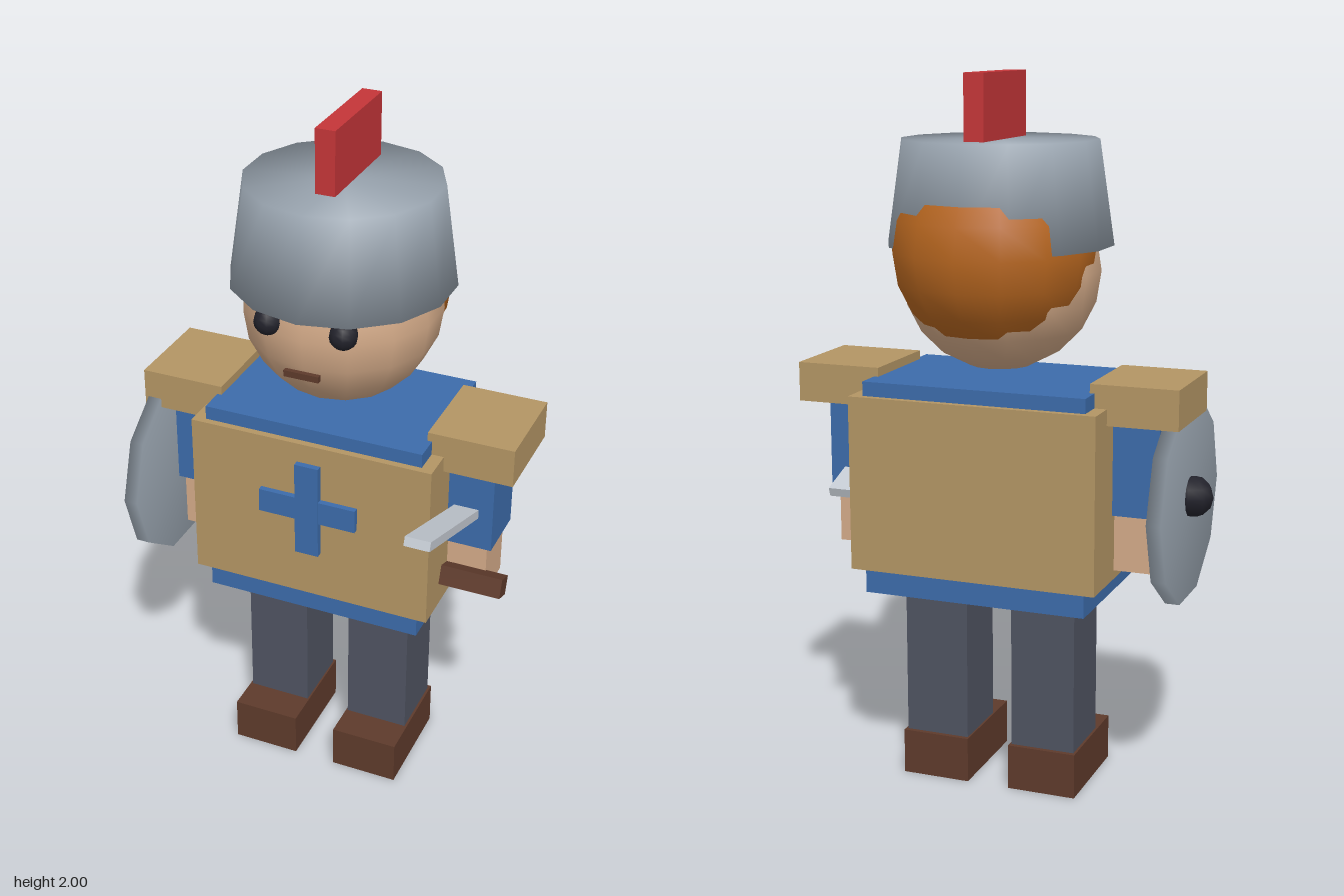
import * as THREE from 'three';
import { mergeVertices } from 'three/addons/utils/BufferGeometryUtils.js';

const mat = (name, color) => {
  const m = new THREE.MeshStandardMaterial({ color });
  m.name = name;
  return m;
};

// Shares the corners so that shading runs softly over every edge
function softened(geometry) {
  geometry.deleteAttribute('normal');
  geometry.deleteAttribute('uv');
  const g = mergeVertices(geometry, 1e-4);
  g.computeVertexNormals();
  return g;
}

export function createModel() {
  const tan = mat('tan leather', 0xb39564);
  const blue = mat('blue cloth', 0x3c6baa);
  const slate = mat('slate trousers', 0x4f5361);
  const brown = mat('dark brown', 0x5e3a2b);
  const skin = mat('skin', 0xd3aa88);
  const steel = mat('steel', 0x98a3ae);
  const bladeGrey = mat('blade silver', 0xc4cad2);
  const red = mat('crest red', 0xc43538);
  const orange = mat('orange hair', 0xb5651f);
  const black = mat('black', 0x22222b);

  const model = new THREE.Group();
  model.name = 'knight';
  // The figure's own middle; the gear makes it sit slightly off centre
  const body = new THREE.Group();
  body.name = 'body';
  body.position.set(0.026, 0, -0.075);
  model.add(body);

  const add = (name, geometry, material, x, y, z) => {
    const mesh = new THREE.Mesh(geometry, material);
    mesh.name = name;
    mesh.position.set(x, y, z);
    body.add(mesh);
    return mesh;
  };
  const box = (name, material, w, h, d, x, y, z) =>
    add(name, new THREE.BoxGeometry(w, h, d), material, x, y, z);

  // Torso
  box('tunic', blue, 0.64, 0.6, 0.43, 0, 0.875, 0);
  box('vest', tan, 0.71, 0.49, 0.47, 0, 0.89, 0);
  box('crossUpright', blue, 0.07, 0.287, 0.03, 0, 0.934, 0.238);
  box('crossBar', blue, 0.288, 0.07, 0.028, 0, 0.935, 0.238);

  // Legs and arms
  for (const [side, s] of [['left', 1], ['right', -1]]) {
    box(side + 'Leg', slate, 0.186, 0.47, 0.196, s * 0.16, 0.355, 0.003);
    box(side + 'Boot', brown, 0.198, 0.13, 0.31, s * 0.161, 0.065, 0.047);
    box(side + 'ShoulderPad', tan, 0.244, 0.11, 0.282, s * 0.429, 1.145, 0);
    box(side + 'Sleeve', blue, 0.17, 0.32, 0.172, s * 0.4, 0.99, 0.001);
    box(side + 'Forearm', skin, 0.14, 0.18, 0.14, s * 0.4, 0.76, 0.005);
  }

  // Head, face and hair
  const ball = (r) => new THREE.SphereGeometry(r, 14, 10).rotateY(Math.PI / 2);
  add('head', ball(0.277), skin, 0, 1.472, 0);
  add('hair', ball(0.278), orange, 0, 1.53, -0.054);
  for (const s of [1, -1]) {
    const eye = new THREE.SphereGeometry(0.039, 10, 8);
    add(s > 0 ? 'leftEye' : 'rightEye', eye, black, s * 0.107, 1.502, 0.25);
  }
  box('mouth', brown, 0.1, 0.018, 0.014, 0, 1.374, 0.275);

  // Helmet with crest
  add('helmet', softened(new THREE.CylinderGeometry(0.27, 0.311, 0.283, 14)),
    steel, 0, 1.682, 0);
  box('crest', red, 0.056, 0.2, 0.311, 0.002, 1.9, -0.027);

  // Sword in the left hand
  const tilt = -0.341;
  box('blade', bladeGrey, 0.071, 0.026, 0.7, 0.408, 0.962, 0.145).rotation.x = tilt;
  box('swordGrip', brown, 0.25, 0.056, 0.056, 0.409, 0.733, 0.105).rotation.x = tilt;

  // Round shield on the right arm
  add('shield', softened(new THREE.CylinderGeometry(0.286, 0.286, 0.04, 10)),
    steel, -0.521, 0.863, 0.028).rotation.z = Math.PI / 2;
  add('shieldBoss', new THREE.SphereGeometry(0.057, 8, 6), black, -0.549, 0.875, 0.027);

  return model;
}
